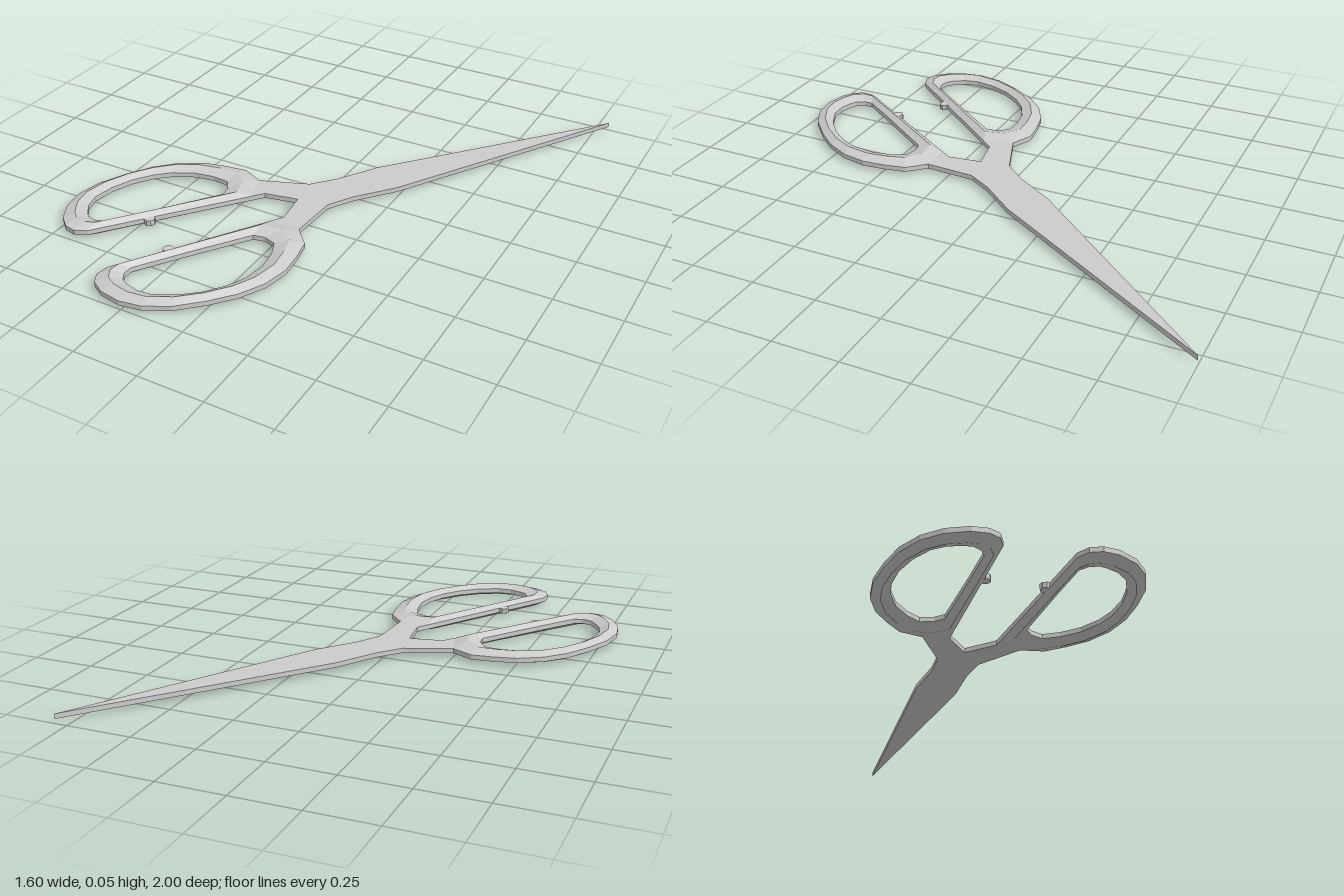
import * as THREE from 'three';

const MID = 0.025;  // height of the flat centre plane
const EDGE = 0.0095; // half thickness of the blades and of the handle edges
const RIDGE = 0.025; // half thickness of the handles along their ridge

// Symmetry axis of the scissors in plan (x, z): runs from crotch to tip
const ORIGIN = new THREE.Vector2(0, 0.092);
const AXIS = new THREE.Vector2(0.592, -0.806).normalize();

// Mirror a plan point across the axis
function mirror([x, z]) {
  const rel = new THREE.Vector2(x, z).sub(ORIGIN);
  const p = AXIS.clone().multiplyScalar(2 * rel.dot(AXIS)).sub(rel).add(ORIGIN);
  return [p.x, p.y];
}

// Mirror a whole outline, keeping its winding
const mirrorOutline = (pts) => pts.map(mirror).reverse();

// Flat plate from a plan outline
function plate(outline) {
  const shape = new THREE.Shape(outline.map(([x, z]) => new THREE.Vector2(x, -z)));
  const geometry = new THREE.ExtrudeGeometry(shape, { depth: 2 * EDGE, bevelEnabled: false });
  return geometry.rotateX(-Math.PI / 2).translate(0, MID - EDGE, 0);
}

// Closed ring with a six-sided section: thin at rim and opening, thick along the ridge
function ridgedRing(rim, opening) {
  const positions = [];
  const index = [];
  const count = rim.length;
  rim.forEach(([ox, oz], i) => {
    const [ix, iz] = opening[i];
    const section = [[0, -EDGE], [0, EDGE], [0.5, RIDGE], [1, EDGE], [1, -EDGE], [0.5, -RIDGE]];
    section.forEach(([t, h], j) => {
      positions.push(ox + (ix - ox) * t, MID + h, oz + (iz - oz) * t);
      const next = ((i + 1) % count) * 6;
      const up = (j + 1) % 6;
      const a = i * 6 + j, b = next + j, c = next + up, d = i * 6 + up;
      index.push(a, b, c, a, c, d);
    });
  });
  const geometry = new THREE.BufferGeometry();
  geometry.setAttribute('position', new THREE.Float32BufferAttribute(positions, 3));
  geometry.setIndex(index);
  const flat = geometry.toNonIndexed();
  flat.computeVertexNormals();
  return flat;
}

export function createModel() {
  const group = new THREE.Group();
  const material = new THREE.MeshStandardMaterial({ color: 0xcccccc, flatShading: true });
  const add = (name, geometry) => {
    const mesh = new THREE.Mesh(geometry, material);
    mesh.name = name;
    group.add(mesh);
  };

  // Closed blades with the two shanks that run into the handles
  const tip = [0.8, -0.998];
  const crotch = [-0.05, 0.158];
  const side = [
    [0.11, -0.2], [0.01, -0.045], [-0.065, 0.04], [-0.25, 0.11], [-0.215, 0.225], [-0.18, 0.183],
  ];
  add('blades', plate([tip, ...side, crotch, ...mirrorOutline(side)]));

  // Finger loop: D-shaped rim and the matching points of its opening
  const rim = [
    [-0.215, 0.225], [-0.25, 0.11], [-0.335, 0.07], [-0.42, 0.08], [-0.51, 0.1], [-0.6, 0.15],
    [-0.675, 0.225], [-0.735, 0.32], [-0.785, 0.425], [-0.803, 0.525], [-0.79, 0.61],
    [-0.75, 0.685], [-0.705, 0.725], [-0.66, 0.735], [-0.615, 0.715], [-0.46, 0.525],
  ];
  const opening = [
    [-0.32, 0.265], [-0.325, 0.22], [-0.355, 0.178], [-0.42, 0.172], [-0.5, 0.185], [-0.58, 0.225],
    [-0.635, 0.275], [-0.685, 0.345], [-0.72, 0.43], [-0.733, 0.515], [-0.72, 0.57],
    [-0.69, 0.615], [-0.67, 0.635], [-0.635, 0.642], [-0.6, 0.63], [-0.49, 0.49],
  ];
  add('rightHandle', ridgedRing(rim, opening));
  add('leftHandle', ridgedRing(mirrorOutline(rim), mirrorOutline(opening)));

  // Small stops on the facing bars
  const stop = [-0.463, 0.538];
  for (const [name, [x, z]] of [['rightStop', stop], ['leftStop', mirror(stop)]]) {
    add(name, new THREE.CylinderGeometry(0.021, 0.021, 0.022, 8).translate(x, MID, z));
  }

  return group;
}
